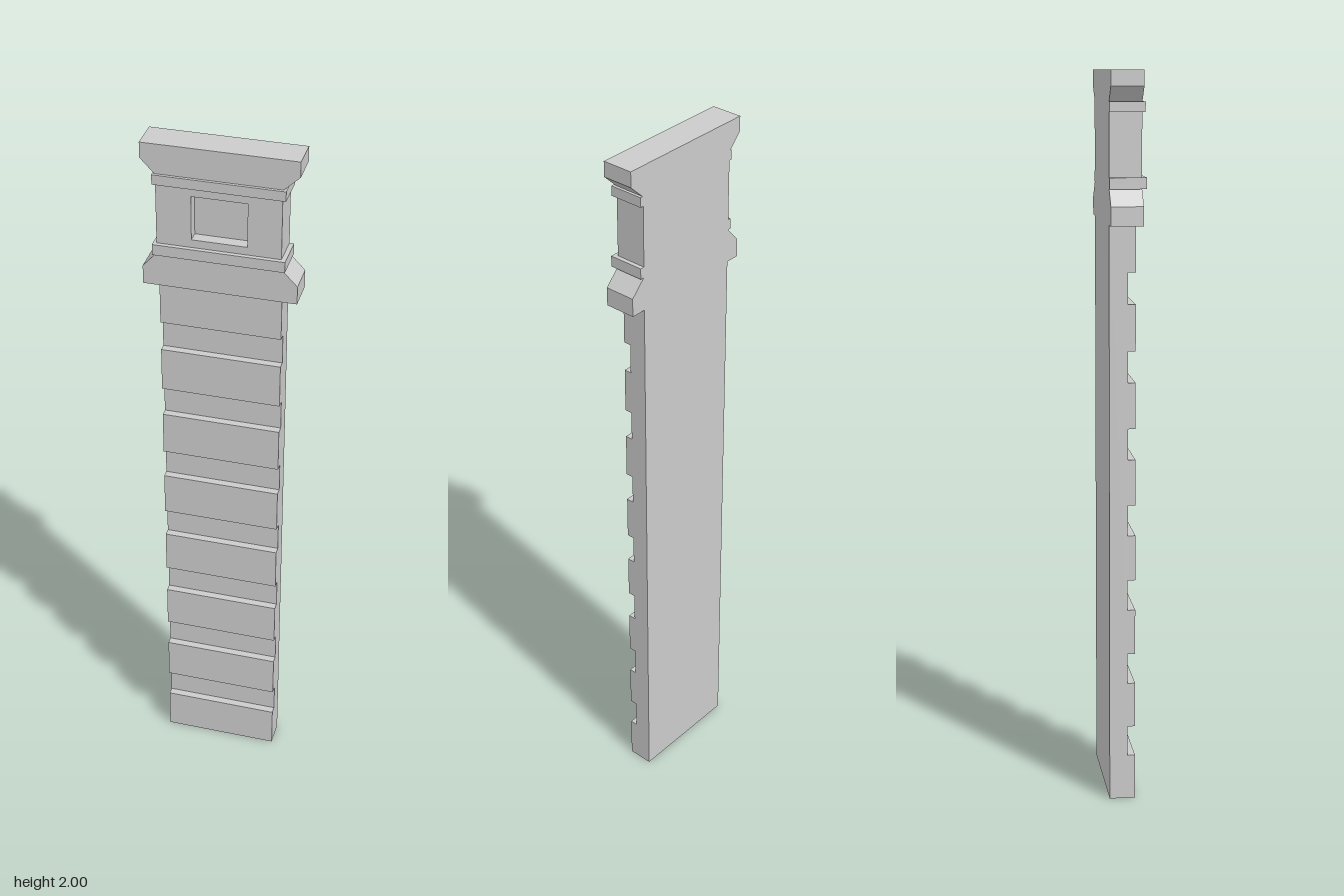
import * as THREE from 'three';

const BACK = -0.05, LEFT = 0.161, RIGHT = -0.165;

export function createModel() {
  const group = new THREE.Group();
  const material = new THREE.MeshStandardMaterial({ color: 0xcccccc, flatShading: true });
  const add = (name, geometry) => {
    const mesh = new THREE.Mesh(geometry, material);
    mesh.name = name;
    group.add(mesh);
  };
  // Box from its limits on each axis
  const box = (name, x0, x1, y0, y1, z0, z1) => add(name,
    new THREE.BoxGeometry(x1 - x0, y1 - y0, z1 - z0)
      .translate((x0 + x1) / 2, (y0 + y1) / 2, (z0 + z1) / 2));
  const shapeOf = (points) => new THREE.Shape(points.map(([x, y]) => new THREE.Vector2(x, y)));

  // Shaft: side profile (z, y) with seven grooves, extruded across the width
  const profile = [[BACK, 0], [0.021, 0]];
  for (let i = 0; i < 7; i++) {
    const y = 0.126 + i * 0.2108;
    profile.push([0.021, y], [0, y], [0, y + 0.085], [0.021, y + 0.085]);
  }
  profile.push([0.021, 1.602], [BACK, 1.602]);
  add('groovedShaft', new THREE.ExtrudeGeometry(shapeOf(profile),
    { depth: LEFT - RIGHT, bevelEnabled: false })
    .rotateY(-Math.PI / 2).translate(LEFT, 0, 0));

  // Capital: flared front outline with a square opening
  const outline = shapeOf([
    [-0.204, 1.6], [0.204, 1.6], [0.204, 1.651], [LEFT, 1.695],
    [LEFT, 1.917], [0.204, 1.958], [0.204, 2],
    [-0.204, 2], [-0.204, 1.958], [RIGHT, 1.917],
    [RIGHT, 1.695], [-0.204, 1.651],
  ]);
  const w = 0.073, y0 = 1.746, y1 = 1.868;
  outline.holes.push(new THREE.Path([[-w, y0], [-w, y1], [w, y1], [w, y0]]
    .map(([x, y]) => new THREE.Vector2(x, y))));
  add('capital', new THREE.ExtrudeGeometry(outline,
    { depth: 0.037 - BACK, bevelEnabled: false }).translate(0, 0, BACK));

  // Floor of the recessed panel
  box('recessPanel', -w, w, y0, y1, BACK, 0.005);

  // Moulding bands around the neck
  box('lowerBand', -0.174, 0.173, 1.694, 1.724, BACK, 0.049);
  box('upperBand', -0.172, 0.171, 1.892, 1.919, BACK, 0.045);

  return group;
}
